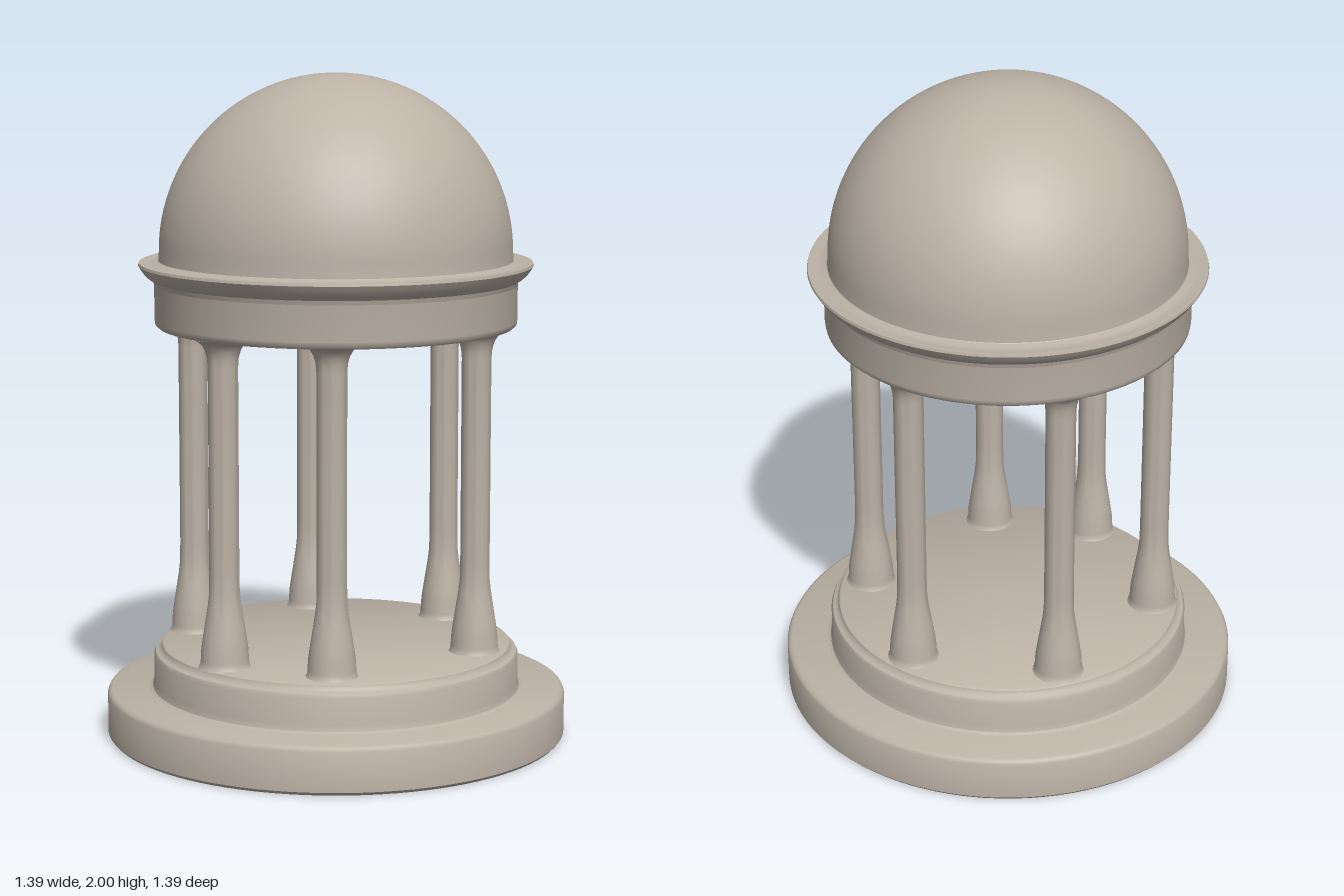
import * as THREE from 'three';
import { toCreasedNormals } from 'three/addons/utils/BufferGeometryUtils.js';

export function createModel() {
  const model = new THREE.Group();
  model.name = 'domedRotunda';
  const stone = new THREE.MeshStandardMaterial({ color: 0xbcb2a6 });
  stone.name = 'warm stone';

  // Turn a profile of [radius, height] points, listed from bottom to top
  const turn = (profile, segments) => toCreasedNormals(
    new THREE.LatheGeometry(profile.map(([r, y]) => new THREE.Vector2(r, y)), segments), 0.7);

  const add = (name, geometry, parent = model) => {
    const mesh = new THREE.Mesh(geometry, stone);
    mesh.name = name;
    parent.add(mesh);
    return mesh;
  };

  // Round base and the softened step on top of it
  add('base', turn([
    [0, 0], [0.688, 0], [0.697, 0.01], [0.697, 0.128], [0.692, 0.138], [0.682, 0.143], [0, 0.143],
  ], 96));
  add('step', turn([
    [0.575, 0.14], [0.56, 0.148], [0.555, 0.165], [0.555, 0.245], [0.55, 0.256],
    [0.54, 0.26], [0.533, 0.266], [0.53, 0.277], [0.522, 0.282], [0, 0.282],
  ], 96));

  // Six columns with bulbous feet and flared tops
  const columns = new THREE.Group();
  columns.name = 'columns';
  model.add(columns);
  const columnGeometry = turn([
    [0.08, 0.278], [0.073, 0.287], [0.071, 0.3], [0.069, 0.335], [0.064, 0.37],
    [0.056, 0.42], [0.049, 0.465], [0.045, 0.5], [0.044, 0.56], [0.044, 1.17],
    [0.046, 1.195], [0.052, 1.218], [0.063, 1.236], [0.078, 1.247], [0.09, 1.252],
  ], 32);
  const places = [
    [0.44, 0], [0.135, 0.42], [-0.2, 0.415], [-0.452, 0.03], [-0.222, -0.39], [0.222, -0.39],
  ];
  for (const [x, z] of places) add('column', columnGeometry, columns).position.set(x, 0, z);

  // Ring beam with a flat ceiling
  add('ringBeam', turn([
    [0, 1.249], [0.532, 1.249], [0.541, 1.257], [0.543, 1.27], [0.543, 1.375], [0.546, 1.39], [0.54, 1.41],
  ], 96));

  // Flared cornice lip
  add('cornice', turn([
    [0.543, 1.375], [0.547, 1.388], [0.56, 1.396], [0.572, 1.406], [0.582, 1.42],
    [0.59, 1.433], [0.588, 1.441], [0.578, 1.442], [0.562, 1.437], [0.545, 1.44], [0.52, 1.45],
  ], 96));

  // Dome, slightly more than a hemisphere
  const dome = [[0.54, 1.437], [0.53, 1.447]];
  for (let i = 0; i <= 32; i++) {
    const a = (i / 32) * Math.PI / 2;
    dome.push([Math.max(0, 0.528 * Math.cos(a)), 1.472 + 0.528 * Math.sin(a)]);
  }
  add('dome', turn(dome, 96));

  return model;
}
